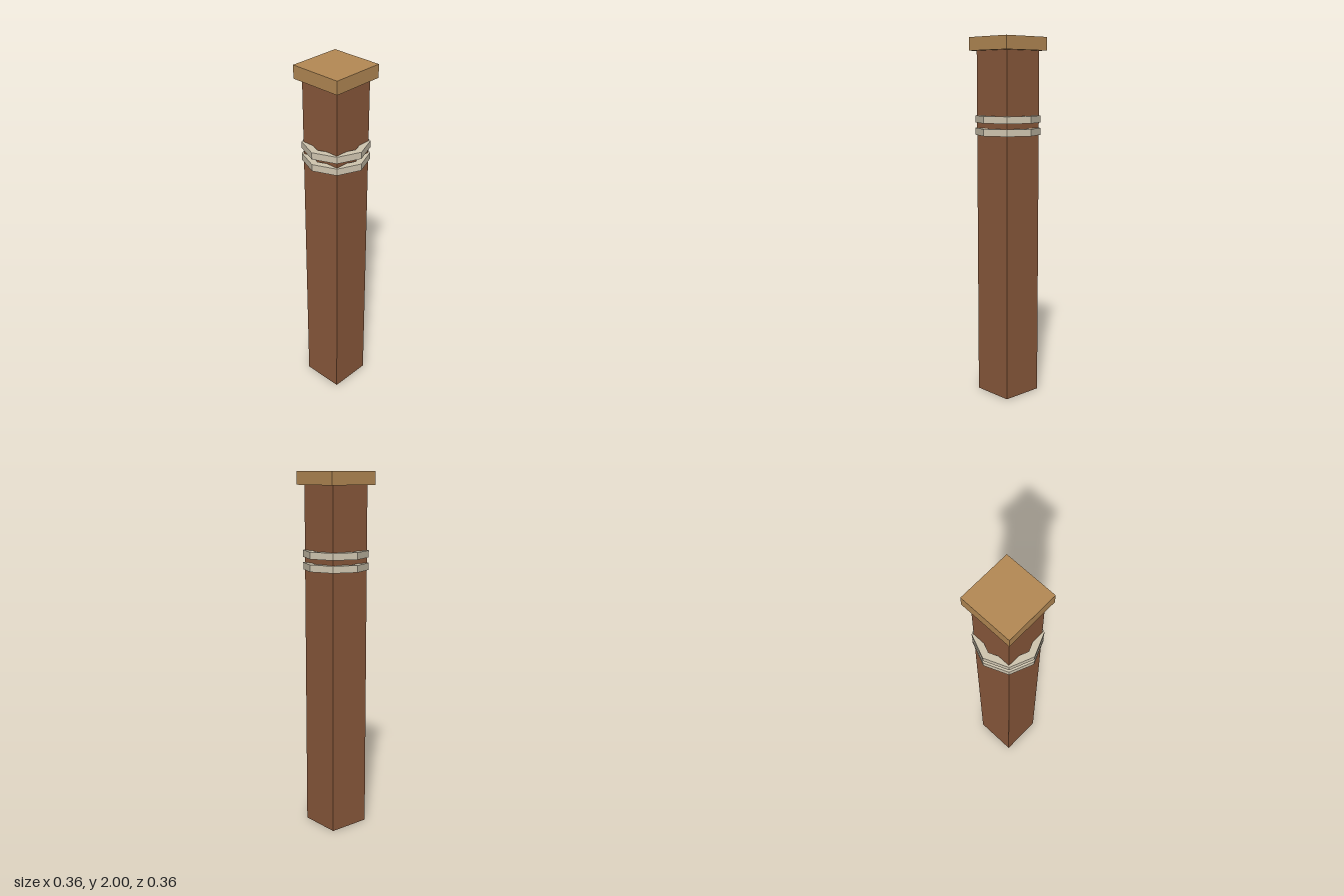
import * as THREE from 'three';

const material = (color) => new THREE.MeshStandardMaterial({ color, flatShading: true });

export function createModel() {
  const group = new THREE.Group();
  const wood = material(0x8b5a3c);
  const paleWood = material(0xb58a55);
  const rope = material(0xd0c6b0);

  const add = (name, geometry, mat, y) => {
    const mesh = new THREE.Mesh(geometry, mat);
    mesh.name = name;
    mesh.position.y = y;
    group.add(mesh);
  };

  // Square post with an overhanging cap
  const capHeight = 0.072;
  const postHeight = 2 - capHeight;
  add('post', new THREE.BoxGeometry(0.24, postHeight, 0.24), wood, postHeight / 2);
  add('cap', new THREE.BoxGeometry(0.3, capHeight, 0.3), paleWood, 2 - capHeight / 2);

  // Two eight-sided rope rings of square section, corners on the axes
  const inner = 0.14, outer = 0.18, half = 0.019;
  const section = [
    [inner, -half], [outer, -half], [outer, half], [inner, half], [inner, -half],
  ].map(([r, y]) => new THREE.Vector2(r, y));
  const ring = new THREE.LatheGeometry(section, 8);
  add('lowerRopeRing', ring, rope, 1.492);
  add('upperRopeRing', ring, rope, 1.56);

  return group;
}
